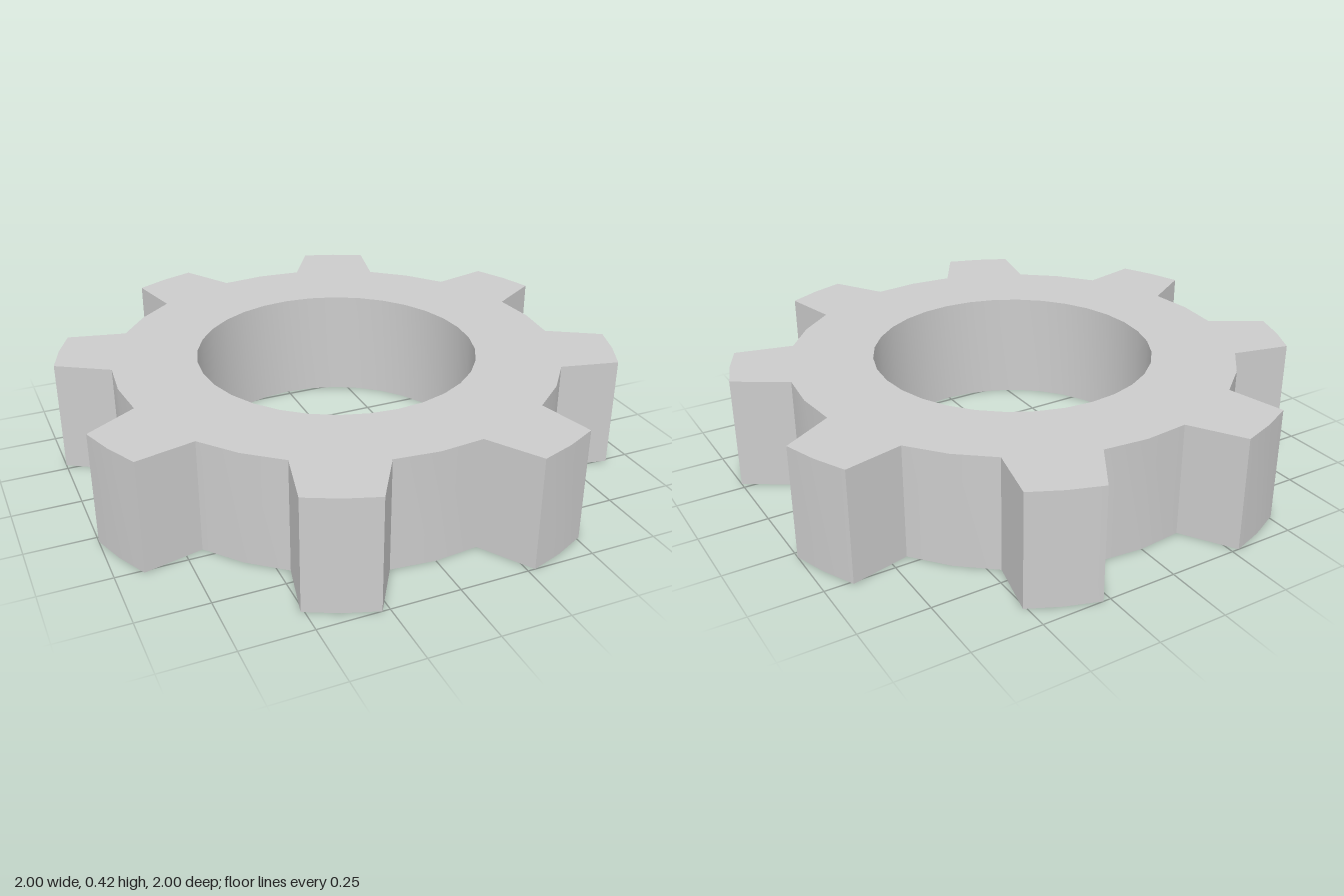
import * as THREE from 'three';
import { toCreasedNormals } from 'three/addons/utils/BufferGeometryUtils.js';

const TEETH = 8, HEIGHT = 0.418;
const TIP_R = 1.0376, ROOT_R = 0.83, BORE_R = 0.52;

const polar = (r, degrees) => {
  const a = THREE.MathUtils.degToRad(degrees);
  return new THREE.Vector2(r * Math.cos(a), r * Math.sin(a));
};

export function createModel() {
  const group = new THREE.Group();
  group.name = 'gear';

  // Outline: a gap and a tapered tooth, repeated around the ring
  const outline = [];
  const pitch = 360 / TEETH, rootHalf = pitch / 4, tipHalf = 7.03;
  for (let i = 0; i < TEETH; i++) {
    const gap = i * pitch, tooth = gap + pitch / 2;
    for (const d of [-rootHalf, 0, rootHalf]) outline.push(polar(ROOT_R, gap + d));
    for (const d of [-tipHalf, 0, tipHalf]) outline.push(polar(TIP_R, tooth + d));
  }
  const shape = new THREE.Shape(outline);

  // Round bore through the middle
  const bore = [];
  for (let i = 0; i < 32; i++) bore.push(polar(BORE_R, -i * 360 / 32));
  shape.holes.push(new THREE.Path(bore));

  // Extrude upward, smooth across the arcs and sharp at the tooth corners
  let geometry = new THREE.ExtrudeGeometry(shape, { depth: HEIGHT, bevelEnabled: false });
  geometry.rotateX(-Math.PI / 2);
  geometry = toCreasedNormals(geometry, THREE.MathUtils.degToRad(30));

  const ring = new THREE.Mesh(geometry, new THREE.MeshStandardMaterial({ color: 0xcccccc }));
  ring.name = 'toothedRing';
  group.add(ring);
  return group;
}
